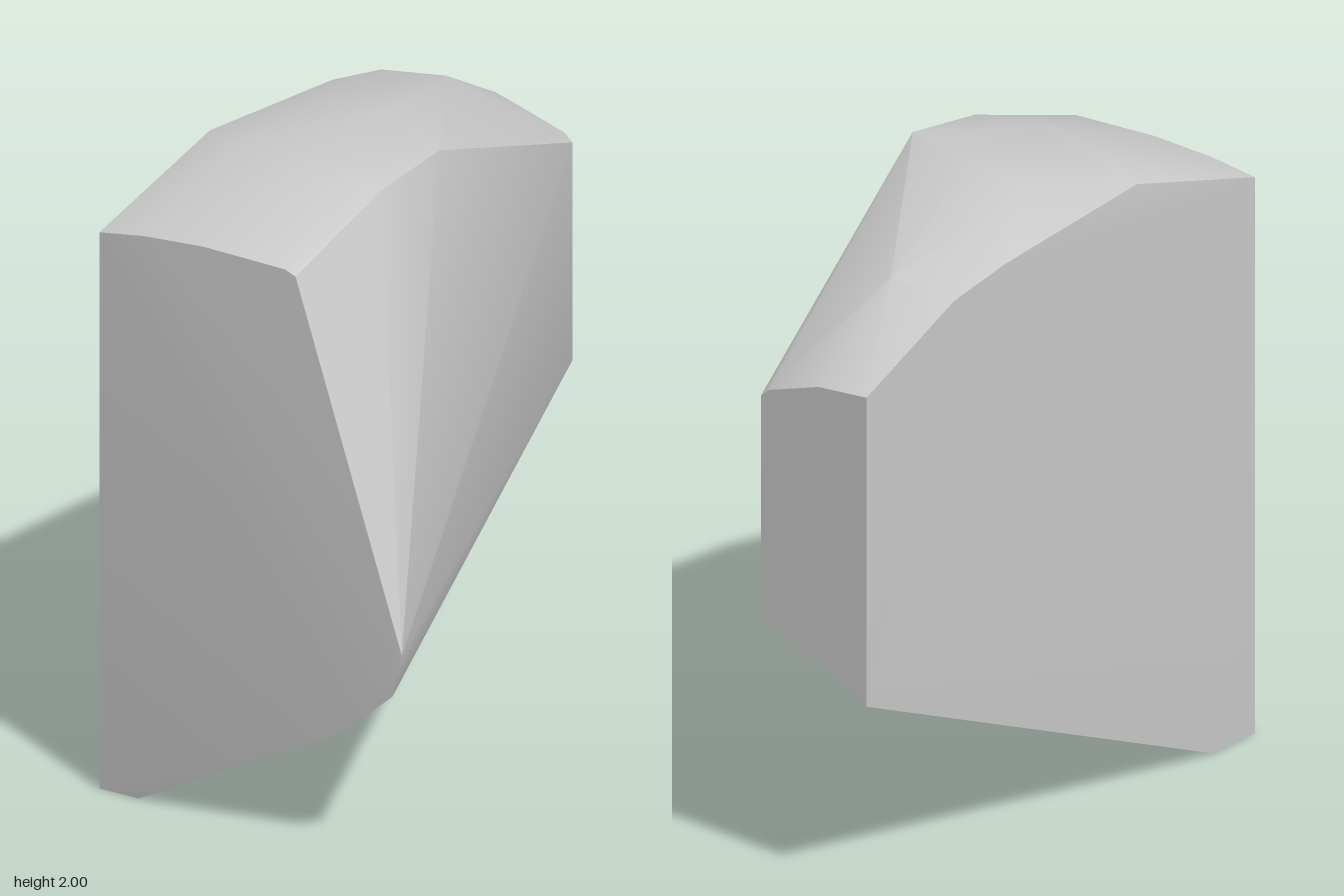
import * as THREE from 'three';
import { toCreasedNormals } from 'three/addons/utils/BufferGeometryUtils.js';
import { ConvexGeometry } from 'three/addons/geometries/ConvexGeometry.js';

// Corners of the chipped rock, grouped by the region they bound
const frontFace = [
  [-0.565, 0, 0.93], [-0.42, 0, 0.93], [0.36, 0.4, 0.972], [0.55, 0.56, 0.975],
  [0.585, 0.7, 0.975], [0.16, 1.81, 0.93], [0.12, 1.825, 0.93],
  [-0.18, 1.83, 0.93], [-0.4, 1.815, 0.93], [-0.565, 1.79, 0.93],
];
const backFace = [
  [-0.585, 0.665, -0.97], [-0.18, 0.87, -0.97], [-0.18, 1.57, -0.97],
  [-0.21, 1.595, -0.97], [-0.4, 1.65, -0.97], [-0.585, 1.66, -0.97],
];
const crown = [
  [0.16, 1.95, 0.49], [-0.1, 1.965, 0.53], [-0.4, 1.965, 0.44], [-0.565, 1.94, 0.36],
  [0.16, 1.985, 0.19], [-0.15, 2, 0.08], [-0.4, 1.98, 0.03], [-0.587, 1.89, -0.3],
  [-0.36, 1.87, -0.57], [-0.587, 1.845, -0.55], [-0.4, 1.71, -0.88],
];
const foot = [[-0.57, 0, 0.72]];

export function createModel() {
  const group = new THREE.Group();
  group.name = 'rockFragment';

  const stone = new THREE.MeshStandardMaterial({ color: 0xcccccc });
  stone.name = 'stone grey';

  // Convex block: sharp at the broken edges, softly shaded across the crown
  const points = [...frontFace, ...backFace, ...crown, ...foot]
    .map((p) => new THREE.Vector3(...p));
  const rock = new THREE.Mesh(toCreasedNormals(new ConvexGeometry(points), 0.5), stone);
  rock.name = 'rock';
  group.add(rock);
  return group;
}
